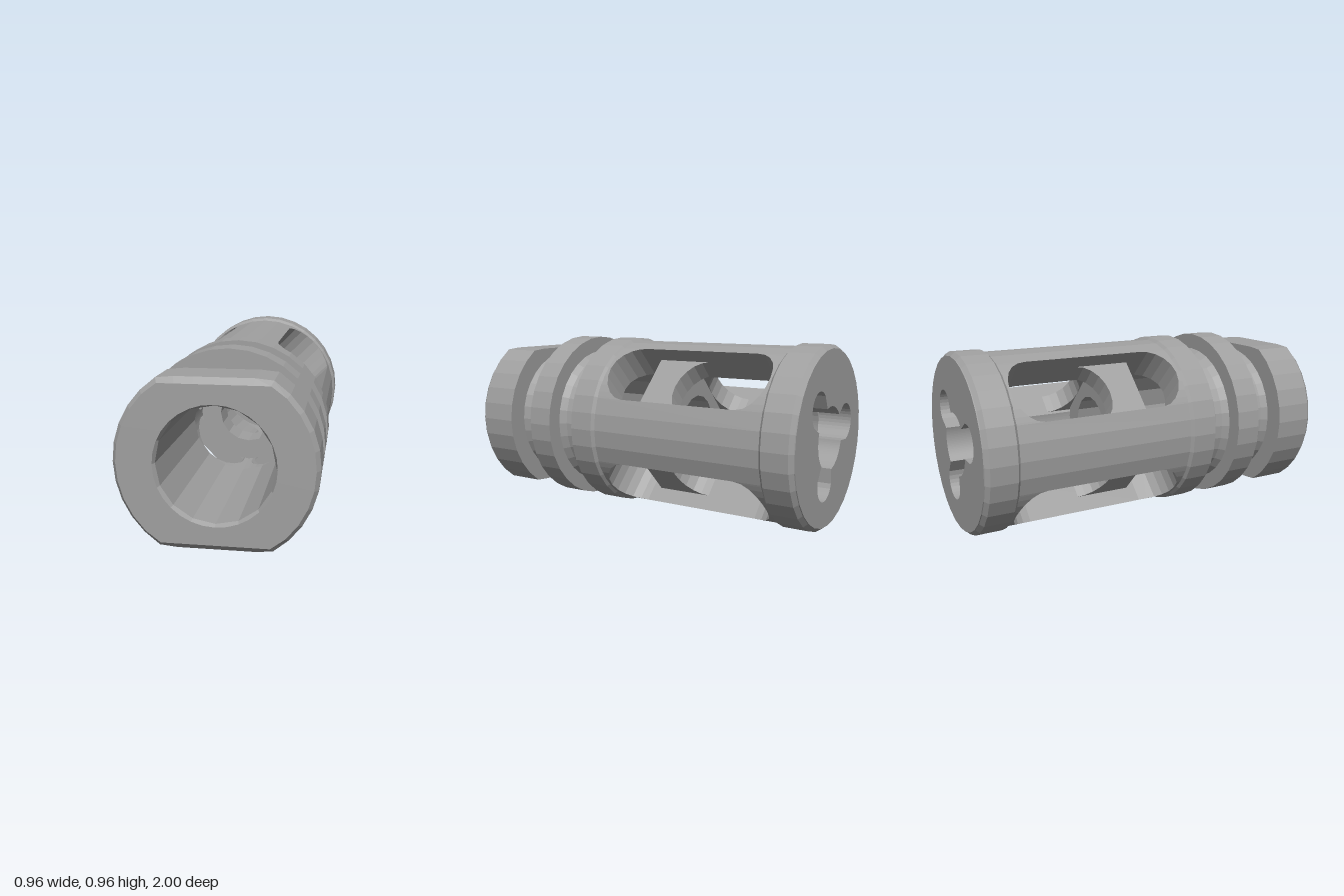
import * as THREE from 'three';

const W = 0.18;          // half width of a slot
const RZ = 0.14;         // length of a slot's rounded end
const R_OUT = 0.465, R_IN = 0.28;
const SLOT_FRONT = 0, SLOT_BACK = -0.67;   // where the rounded ends begin
const WALL_FRONT = 0.17, WALL_BACK = -0.83;

const steel = new THREE.MeshStandardMaterial({ color: 0xa0a0a0 });
steel.name = 'grey steel';
steel.flatShading = true;
steel.side = THREE.DoubleSide;

function addMesh(parent, name, geometry) {
  const mesh = new THREE.Mesh(geometry, steel);
  mesh.name = name;
  parent.add(mesh);
  return mesh;
}

// Turned part about the z axis from [radius, z] points
function turned(points, sides) {
  const profile = points.map(([r, z]) => new THREE.Vector2(r, z));
  return new THREE.LatheGeometry(profile, sides).rotateX(Math.PI / 2).toNonIndexed();
}

// Grid of quads from a rule f(u, v), both 0..1
function grid(out, f, nu, nv, flip = false) {
  for (let i = 0; i < nu; i++) for (let j = 0; j < nv; j++) {
    const a = f(i / nu, j / nv), b = f((i + 1) / nu, j / nv);
    const c = f((i + 1) / nu, (j + 1) / nv), d = f(i / nu, (j + 1) / nv);
    out.push(...(flip ? [a, c, b, a, d, c] : [a, b, c, a, c, d]).flat());
  }
}

// One quarter of the cage: a slot centred on +x and the bar beside it
function cageQuarter() {
  const out = [];
  const mix = THREE.MathUtils.lerp;
  const onCylinder = (r, s, z) => [Math.sqrt(r * r - s * s), s, z];
  // material beyond the two rounded slot ends
  for (const [zc, sign, end] of [[SLOT_FRONT, 1, WALL_FRONT], [SLOT_BACK, -1, WALL_BACK]]) {
    const s = u => -W * Math.cos(u * Math.PI);
    const edge = u => zc + sign * RZ * Math.sin(u * Math.PI);
    for (const r of [R_OUT, R_IN]) {
      grid(out, (u, v) => onCylinder(r, s(u), mix(edge(u), end, v)), 10, 1, (r === R_IN) !== (sign < 0));
    }
    grid(out, (u, v) => onCylinder(mix(R_IN, R_OUT, v), s(u), edge(u)), 10, 1, sign < 0);
  }
  // straight slot walls
  for (const side of [1, -1]) {
    grid(out, (u, v) => onCylinder(mix(R_IN, R_OUT, u), side * W, mix(SLOT_BACK, SLOT_FRONT, v)), 1, 1, side < 0);
  }
  // bar between this slot and the next
  for (const r of [R_OUT, R_IN]) {
    const a = Math.asin(W / r);
    grid(out, (u, v) => {
      const t = mix(a, Math.PI / 2 - a, u);
      return [r * Math.cos(t), r * Math.sin(t), mix(WALL_BACK, WALL_FRONT, v)];
    }, 4, 1, r === R_IN);
  }
  const geometry = new THREE.BufferGeometry();
  geometry.setAttribute('position', new THREE.Float32BufferAttribute(out, 3));
  geometry.computeVertexNormals();
  return geometry;
}

// Block at the bottom of a slot, with a hollowed rear edge
function slotBlock() {
  const shape = new THREE.Shape().moveTo(-W, -0.05).lineTo(W, -0.05);
  for (let i = 0; i <= 10; i++) {
    const t = i / 10 * Math.PI;
    shape.lineTo(W * Math.cos(t), -0.36 + RZ * Math.sin(t));
  }
  return new THREE.ExtrudeGeometry(shape, { depth: 0.11, bevelEnabled: false });
}

// Rear plate pierced by a round hole with three lobes
function rearPlate() {
  const circle = [], hole = [];
  for (let i = 0; i < 32; i++) {
    const t = i / 16 * Math.PI;
    circle.push(new THREE.Vector2(0.46 * Math.cos(t), 0.46 * Math.sin(t)));
  }
  const distance = 0.225, lobe = 0.1;
  for (let i = 0; i < 120; i++) {
    const t = i / 60 * Math.PI;
    let r = 0.167;
    for (const centre of [45, 165, 285]) {
      const p = t - THREE.MathUtils.degToRad(centre);
      const q = lobe ** 2 - (distance * Math.sin(p)) ** 2;
      if (Math.cos(p) > 0 && q > 0) r = Math.max(r, distance * Math.cos(p) + Math.sqrt(q));
    }
    hole.push(new THREE.Vector2(r * Math.cos(t), r * Math.sin(t)));
  }
  const shape = new THREE.Shape(circle);
  shape.holes.push(new THREE.Path(hole));
  return new THREE.ExtrudeGeometry(shape, { depth: 0.18, bevelEnabled: false }).translate(0, 0, -1);
}

export function createModel() {
  const model = new THREE.Group();
  model.name = 'slottedTube';
  const body = new THREE.Group();
  body.name = 'body';
  body.position.y = 0.483;
  model.add(body);

  // Grooved front section
  addMesh(body, 'groovedNeck', turned([
    [0.465, 0.155], [0.48, 0.17], [0.48, 0.305], [0.4, 0.305], [0.372, 0.35], [0.365, 0.39],
    [0.372, 0.43], [0.395, 0.465], [0.48, 0.465], [0.48, 0.607], [0.38, 0.607],
    [0.362, 0.64], [0.357, 0.68], [0.362, 0.72], [0.375, 0.76],
  ], 32));

  // Front collar, flattened above and below
  const collar = turned([[0.34, 0.76], [0.48, 0.76], [0.48, 0.975], [0.46, 1], [0.288, 1]], 32);
  const p = collar.attributes.position;
  for (let i = 0; i < p.count; i++) {
    const limit = p.getZ(i) > 0.99 ? 0.378 : 0.407;
    p.setY(i, THREE.MathUtils.clamp(p.getY(i), -limit, limit));
  }
  collar.computeVertexNormals();
  addMesh(body, 'flattenedCollar', collar);

  // Front bore and the inner wall with its small hole
  addMesh(body, 'bore', turned([[0.295, 1], [0.28, 0.975], [0.28, 0.155]], 16));
  addMesh(body, 'innerWall', turned(
    [[0.167, -0.22], [0.28, -0.22], [0.28, -0.05], [0.167, -0.05], [0.167, -0.22]], 16));

  // Slotted cage
  const quarter = cageQuarter(), block = slotBlock();
  for (let i = 0; i < 4; i++) {
    const a = Math.PI / 4 + i * Math.PI / 2;
    addMesh(body, 'cageQuarter', quarter).rotation.z = a;
    const radial = new THREE.Vector3(Math.cos(a), Math.sin(a), 0);
    const tangent = new THREE.Vector3(-Math.sin(a), Math.cos(a), 0);
    const m = new THREE.Matrix4().makeBasis(tangent, new THREE.Vector3(0, 0, 1), radial);
    m.setPosition(radial.clone().multiplyScalar(0.23));
    addMesh(body, 'slotBlock', block).applyMatrix4(m);
  }

  // Rear rim and plate
  addMesh(body, 'rearRim', turned(
    [[0.455, -1], [0.48, -0.975], [0.48, -0.835], [0.465, -0.82]], 32));
  addMesh(body, 'rearPlate', rearPlate());
  return model;
}
